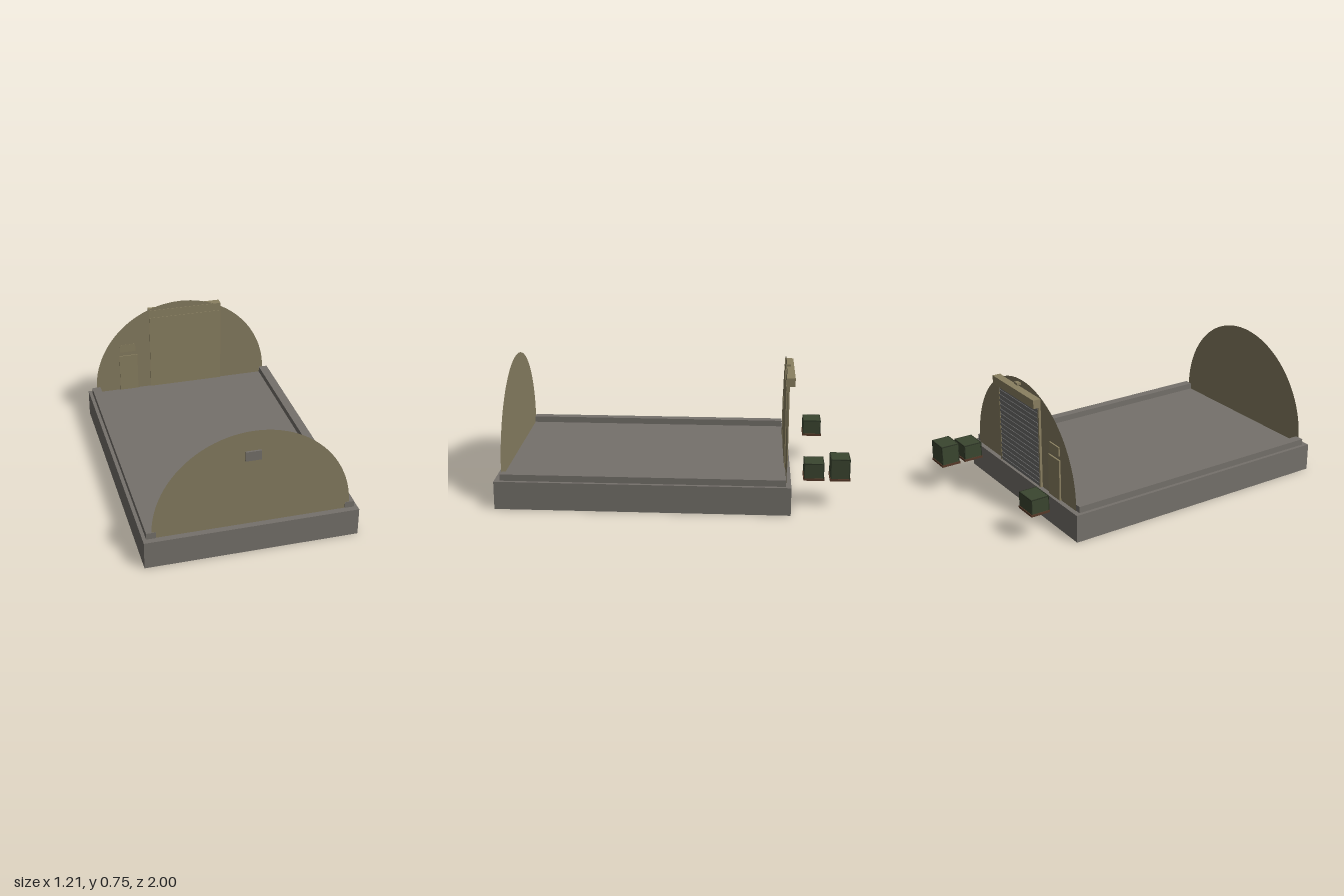
import * as THREE from 'three';

const mat = (name, color, side = THREE.FrontSide) => {
  const m = new THREE.MeshStandardMaterial({ color, side });
  m.name = name;
  return m;
};

export function createModel() {
  const model = new THREE.Group();
  model.name = 'arched shelter';

  const concrete = mat('concrete grey', 0x75716b);
  const wallPaint = mat('olive khaki wall', 0x857c60, THREE.DoubleSide);
  const trim = mat('khaki trim', 0x8a8061);
  const steel = mat('shutter grey', 0x6c6c6b);
  const green = mat('crate green', 0x3b4630);
  const darkGreen = mat('crate edge green', 0x2c3424);
  const wood = mat('pallet brown', 0x573a29);

  // Box given by its minimum and maximum corners
  const box = (name, material, [x0, y0, z0], [x1, y1, z1], parent = model) => {
    const mesh = new THREE.Mesh(new THREE.BoxGeometry(x1 - x0, y1 - y0, z1 - z0), material);
    mesh.position.set((x0 + x1) / 2, (y0 + y1) / 2, (z0 + z1) / 2);
    mesh.name = name;
    parent.add(mesh);
    return mesh;
  };

  // Foundation slab and the two side curbs
  const floor = 0.163;
  box('foundation', concrete, [-0.605, 0, -0.667], [0.605, floor, 1]);
  box('curbRight', concrete, [-0.585, floor, -0.637], [-0.532, 0.2, 0.967]);
  box('curbLeft', concrete, [0.532, floor, -0.637], [0.585, 0.2, 0.967]);

  // Thin arched end walls
  const arch = new THREE.Shape();
  arch.moveTo(0.555, floor);
  arch.lineTo(0.555, 0.19);
  arch.absarc(0, 0.19, 0.555, 0, Math.PI, false);
  arch.lineTo(-0.555, floor);
  const archGeometry = new THREE.ShapeGeometry(arch, 24);
  for (const [name, z, turn] of [['frontWall', 0.964, 0], ['backWall', -0.64, Math.PI]]) {
    const wall = new THREE.Mesh(archGeometry, wallPaint);
    wall.position.z = z;
    wall.rotation.y = turn;
    wall.name = name;
    model.add(wall);
  }

  // Vent high on the front wall
  box('frontVent', concrete, [-0.045, 0.57, 0.965], [0.043, 0.626, 0.976]);

  // Roller door: panel through the wall, jambs, ribbed shutter and hood
  const door = new THREE.Group();
  door.name = 'rollerDoor';
  model.add(door);
  box('doorPanel', trim, [-0.2, floor, -0.647], [0.265, 0.65, -0.634], door);
  box('jambRight', trim, [-0.2, floor, -0.654], [-0.188, 0.65, -0.646], door);
  box('jambLeft', trim, [0.253, floor, -0.654], [0.265, 0.65, -0.646], door);
  box('shutter', steel, [-0.188, floor, -0.65], [0.253, 0.65, -0.646], door);
  const slats = 16;
  const pitch = (0.65 - floor) / slats;
  for (let i = 0; i < slats; i++) {
    const y = floor + (i + 0.25) * pitch;
    box('shutterSlat', steel, [-0.186, y, -0.654], [0.251, y + pitch * 0.5, -0.649], door);
  }
  box('shutterHood', trim, [-0.2, 0.65, -0.686], [0.265, 0.7, -0.637], door);
  box('lamp', trim, [0.014, 0.714, -0.664], [0.05, 0.726, -0.641], door);

  // Small side door with a plate above it
  box('sideDoor', trim, [-0.4, floor, -0.65], [-0.284, 0.405, -0.634]);
  box('doorPlate', trim, [-0.395, 0.43, -0.649], [-0.295, 0.482, -0.639]);

  // Crates standing on pallets, each with dark edge strips
  const crate = (x0, x1, z0, z1, top) => {
    const g = new THREE.Group();
    g.name = 'crate';
    model.add(g);
    const b = 0.176, t = 0.005, e = 0.001;
    box('pallet', wood, [x0, floor, z0], [x1, b, z1], g);
    const [l, r, n, f] = [x0 + 0.004, x1 - 0.004, z0 + 0.004, z1 - 0.004];
    box('crateBody', green, [l, b, n], [r, top - e, f], g);
    for (const x of [l - e, r + e - t]) {
      for (const z of [n - e, f + e - t]) box('cornerStrip', darkGreen, [x, b, z], [x + t, top, z + t], g);
      box('topEdge', darkGreen, [x, top - t, n - e], [x + t, top, f + e], g);
    }
    for (const z of [n - e, f + e - t]) box('topEdge', darkGreen, [l - e, top - t, z], [r + e, top, z + t], g);
  };
  crate(0.34, 0.478, -1, -0.885, 0.29);
  crate(0.34, 0.478, -0.855, -0.737, 0.262);
  crate(-0.485, -0.345, -0.878, -0.762, 0.262);

  return model;
}
